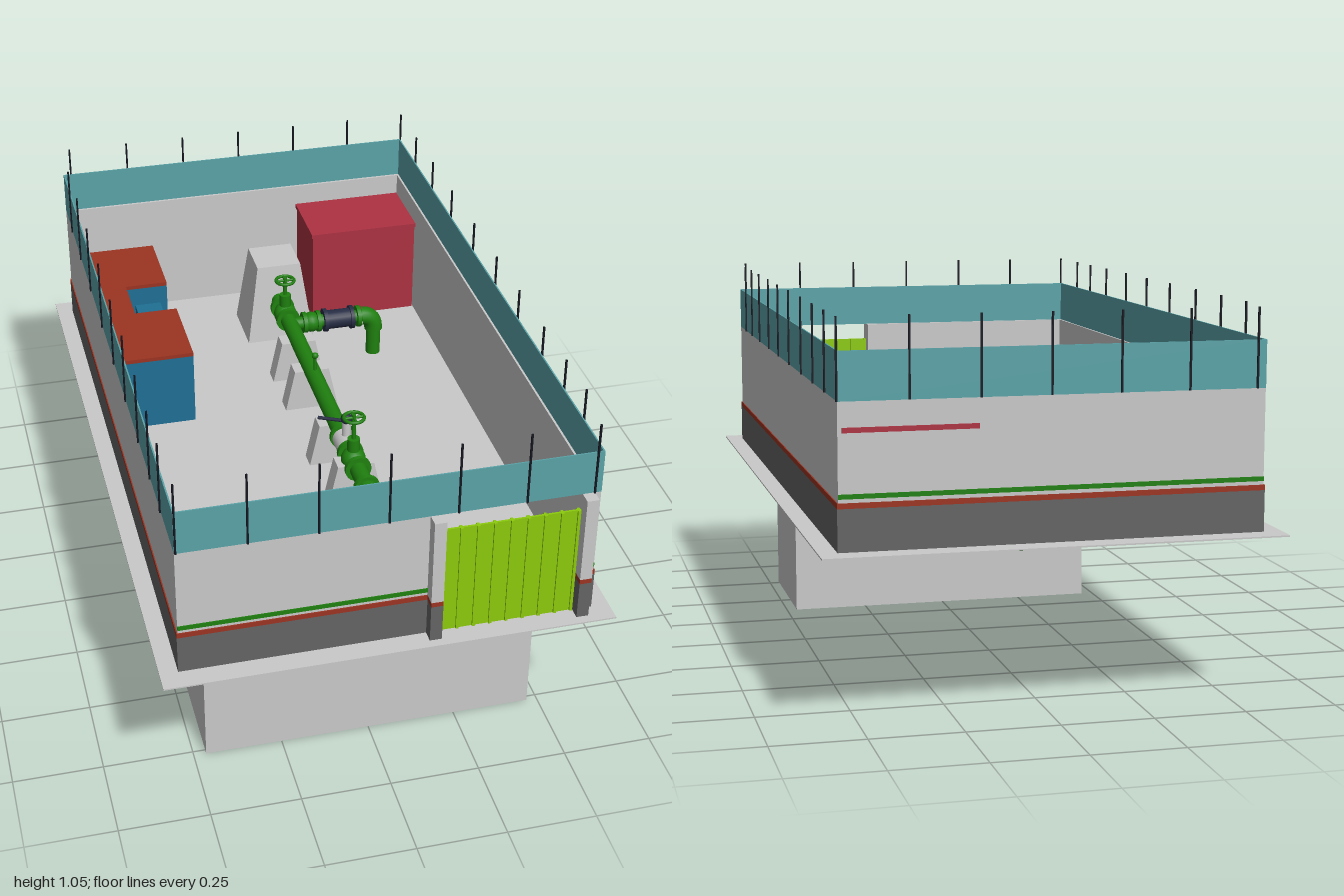
import * as THREE from 'three';

const mat = (name, color, extra = {}) => {
  const m = new THREE.MeshStandardMaterial({ color, ...extra });
  m.name = name;
  return m;
};

export function createModel() {
  const root = new THREE.Group();
  root.name = 'pumpStation';
  const concrete = mat('concrete', 0xc9c9c9);
  const plinth = mat('plinthGrey', 0x646464);
  const brick = mat('brickRed', 0x9c3422);
  const green = mat('pipeGreen', 0x1f800f);
  const lime = mat('gateLime', 0x8cca0c);
  const teal = mat('fenceTeal', 0x5aa3a8, { side: THREE.DoubleSide });
  const black = mat('poleBlack', 0x15151f);
  const blue = mat('hutBlue', 0x1f6f94);
  const crimson = mat('crimson', 0xad3242);
  const navy = mat('valveNavy', 0x262c44);

  const G = 0.463, TOP = 0.84; // ground level and wall top

  const add = (name, geo, m, parent = root) => {
    const mesh = new THREE.Mesh(geo, m);
    mesh.name = name;
    parent.add(mesh);
    return mesh;
  };
  // Box given by its limits
  const box = (name, m, x0, x1, y0, y1, z0, z1, parent = root) => {
    const mesh = add(name, new THREE.BoxGeometry(x1 - x0, y1 - y0, z1 - z0), m, parent);
    mesh.position.set((x0 + x1) / 2, (y0 + y1) / 2, (z0 + z1) / 2);
    return mesh;
  };
  // Cylinder between two points
  const rod = (name, m, a, b, r, parent = root, seg = 20) => {
    const p = new THREE.Vector3(...a), q = new THREE.Vector3(...b), d = q.clone().sub(p);
    const mesh = add(name, new THREE.CylinderGeometry(r, r, d.length(), seg), m, parent);
    mesh.position.copy(p).add(q).multiplyScalar(0.5);
    mesh.quaternion.setFromUnitVectors(new THREE.Vector3(0, 1, 0), d.normalize());
    return mesh;
  };
  const ball = (name, m, x, y, z, r, parent = root) => {
    const mesh = add(name, new THREE.SphereGeometry(r, 16, 12), m, parent);
    mesh.position.set(x, y, z);
    return mesh;
  };
  // Four-sided block with sloping sides; sx, sz are top-to-bottom ratios
  const frustum = (name, m, x0, x1, y0, y1, z0, z1, sx, sz) => {
    const geo = new THREE.BoxGeometry(x1 - x0, y1 - y0, z1 - z0);
    const p = geo.attributes.position;
    for (let i = 0; i < p.count; i++) {
      if (p.getY(i) > 0) p.setXYZ(i, p.getX(i) * sx, p.getY(i), p.getZ(i) * sz);
    }
    geo.computeVertexNormals();
    const mesh = add(name, geo, m);
    mesh.position.set((x0 + x1) / 2, (y0 + y1) / 2, (z0 + z1) / 2);
    return mesh;
  };

  // Ground slab and buried tank
  box('groundSlab', concrete, -0.61, 0.61, G - 0.004, G, -1, 1);
  box('buriedTank', concrete, -0.465, 0.47, 0, G - 0.004, 0.365, 0.765);

  // Perimeter walls with painted bands on the outer face
  const W = 0.558, D = 0.938, T = 0.01, P = 0.003;
  box('leftWall', concrete, W - T, W, G, TOP, -D, D);
  box('rightWall', concrete, -W, -W + T, G, TOP, -D, D);
  box('backWall', concrete, -W, W, G, TOP, -D, -D + T);
  const frontRuns = [[-W, 0.103], [0.537, W]];
  for (const [a, b] of frontRuns) box('frontWall', concrete, a, b, G, TOP, D - T, D);
  const bands = [['plinthBand', plinth, G, 0.573], ['redStripe', brick, 0.573, 0.587], ['greenStripe', green, 0.597, 0.609]];
  for (const [name, m, y0, y1] of bands) {
    for (const [a, b] of frontRuns) box(name, m, a, b, y0, y1, D, D + P);
    box(name, m, -W, W, y0, y1, -D - P, -D);
    if (m === green) continue;
    box(name, m, W, W + P, y0, y1, -D - P, D + P);
    box(name, m, -W - P, -W, y0, y1, -D - P, D + P);
  }

  // Screen fence and poles above the walls
  const fence = new THREE.Group();
  fence.name = 'screenFence';
  root.add(fence);
  for (const s of [-1, 1]) {
    box('longScreen', teal, s * 0.556 - 0.002, s * 0.556 + 0.002, TOP, 0.965, -0.94, 0.94, fence);
    box('shortScreen', teal, -0.556, 0.556, TOP, 0.965, s * 0.938 - 0.002, s * 0.938 + 0.002, fence);
  }
  const pole = (x, z) => box('fencePole', black, x - 0.0025, x + 0.0025, TOP, 1.05, z - 0.0025, z + 0.0025, fence);
  for (let i = 0; i < 7; i++) {
    pole(-0.555 + i * 0.1823, 0.942);
    pole(-0.534 + i * 0.1823, -0.942);
  }
  for (const z of [0.78, 0.63, 0.455, 0.25, 0.05, -0.16, -0.38, -0.58, -0.765]) {
    pole(0.56, z);
    pole(-0.56, z - 0.02);
  }

  // Gate with ribbed leaves between two posts
  const gate = new THREE.Group();
  gate.name = 'gate';
  root.add(gate);
  box('gatePanel', lime, 0.133, 0.508, G, 0.79, 0.934, 0.94, gate);
  for (let i = 0; i < 9; i++) {
    const x = 0.14 + i * 0.0452;
    box('gateRib', lime, x - 0.004, x + 0.004, G, 0.79, 0.929, 0.945, gate);
  }
  for (const [a, b] of [[0.101, 0.134], [0.507, 0.54]]) {
    box('postBase', plinth, a, b, G, 0.573, 0.9, 0.975, gate);
    box('postStripe', brick, a, b, 0.573, 0.587, 0.9, 0.975, gate);
    box('postShaft', concrete, a, b, 0.587, TOP, 0.9, 0.975, gate);
  }

  // U-shaped control hut with a recess on its inner side
  const hut = new THREE.Group();
  hut.name = 'controlHut';
  root.add(hut);
  for (const [x0, x1, z0, z1] of [[-0.546, -0.42, -0.89, -0.2], [-0.42, -0.29, -0.89, -0.64], [-0.42, -0.29, -0.47, -0.2]]) {
    box('hutBody', blue, x0, x1, G, 0.69, z0, z1, hut);
    box('hutRoof', brick, x0, x1, 0.69, 0.702, z0, z1, hut);
  }
  box('cabinet', blue, -0.395, -0.315, G, 0.64, -0.625, -0.475, hut);
  box('cabinetBack', blue, -0.42, -0.395, G, 0.6, -0.61, -0.49, hut);
  box('cabinetPanel', blue, -0.315, -0.29, G + 0.02, 0.6, -0.585, -0.52, hut);

  // Corner shed
  box('shedBody', crimson, 0.205, 0.545, G, 0.762, -0.926, -0.705);
  box('shedRoof', crimson, 0.2, 0.547, 0.762, 0.775, -0.942, -0.7);

  // Main pipe: elbow into the base plate, long run, sloping outlet
  const X = 0.07, Y = 0.6, R = 0.025;
  const pipes = new THREE.Group();
  pipes.name = 'pipework';
  root.add(pipes);
  rod('mainPipe', green, [X, Y, 0.48], [X, Y, -0.71], R, pipes);
  rod('outletPipe', green, [X, Y, -0.71], [X, 0.442, -0.868], R, pipes);
  rod('outletFlange', green, [X, 0.498, -0.812], [X, 0.486, -0.824], 0.036, pipes);
  const elbow = (pts) => add('pipeElbow', new THREE.TubeGeometry(
    new THREE.QuadraticBezierCurve3(...pts.map((p) => new THREE.Vector3(...p))), 12, R * 1.15, 16), green, pipes);
  elbow([[X, Y, 0.46], [X, Y, 0.53], [X, 0.52, 0.53]]);
  rod('inletRiser', green, [X, 0.525, 0.53], [X, G, 0.53], R, pipes);
  box('basePlate', green, 0, 0.14, 0.5, 0.525, 0.46, 0.6, pipes);
  for (const z of [0.455, 0.36, 0.275, 0.19, -0.49, -0.57]) {
    rod('flange', green, [X, Y, z - 0.007], [X, Y, z + 0.007], 0.038, pipes);
  }

  // Gate valves with handwheels
  for (const [z, h] of [[0.31, 0.74], [-0.53, 0.72]]) {
    ball('valveBody', green, X, Y, z, 0.036, pipes);
    rod('valveBonnet', green, [X, Y, z], [X, Y + 0.07, z], 0.018, pipes);
    rod('valveStem', green, [X, Y, z], [X, h + 0.01, z], 0.006, pipes, 10);
    const wheel = add('handwheel', new THREE.TorusGeometry(0.029, 0.005, 8, 20), green, pipes);
    wheel.rotation.x = Math.PI / 2;
    wheel.position.set(X, h, z);
    rod('wheelSpoke', green, [X - 0.028, h, z], [X + 0.028, h, z], 0.004, pipes, 8);
    rod('wheelSpoke', green, [X, h, z - 0.028], [X, h, z + 0.028], 0.004, pipes, 8);
  }

  // Meter with side lever and drain
  rod('meterBody', concrete, [X, Y, 0.2], [X, Y, 0.26], 0.033, pipes);
  rod('meterNeck', concrete, [X, Y, 0.23], [X, 0.68, 0.23], 0.013, pipes);
  ball('meterHead', navy, X, 0.685, 0.23, 0.017, pipes);
  rod('meterLever', navy, [X, 0.665, 0.21], [0, 0.665, 0.175], 0.005, pipes, 8);
  rod('drainPipe', concrete, [X, Y, 0.185], [X, 0.41, 0.185], 0.011, pipes);
  rod('drainTip', concrete, [X, 0.41, 0.185], [X, 0.38, 0.185], 0.005, pipes, 10);
  rod('gaugeStem', green, [X, Y, -0.14], [X, 0.67, -0.14], 0.004, pipes, 8);
  ball('gauge', green, X, 0.675, -0.14, 0.01, pipes);

  // Side branch with check valve and down elbow
  const B = -0.46;
  rod('branchPipe', green, [X, Y, B], [0.33, Y, B], R * 0.8, pipes);
  for (const x of [0.115, 0.16, 0.29]) rod('branchFlange', green, [x - 0.006, Y, B], [x + 0.006, Y, B], 0.034, pipes);
  ball('branchValve', green, 0.137, Y, B, 0.032, pipes);
  rod('checkValve', navy, [0.182, Y, B], [0.268, Y, B], 0.03, pipes);
  for (const x of [0.182, 0.268]) rod('checkValveFlange', navy, [x - 0.006, Y, B], [x + 0.006, Y, B], 0.037, pipes);
  elbow([[0.3, Y, B], [0.342, Y, B], [0.342, 0.55, B]]);
  rod('branchDrop', green, [0.342, 0.56, B], [0.342, G, B], R * 0.9, pipes);

  // Concrete anchor, pipe saddles with hollow footings, side cheeks
  frustum('anchorBlock', concrete, -0.035, 0.18, G, 0.72, -0.79, -0.6, 0.65, 0.72);
  for (const z of [0.31, 0.095, -0.21, -0.38]) {
    frustum('pipeSaddle', concrete, -0.01, 0.153, G, 0.595, z - 0.027, z + 0.027, 0.65, 1);
    for (const s of [-1, 1]) {
      box('footingSide', concrete, -0.01, 0.153, 0.438, G, z + s * 0.021 - 0.006, z + s * 0.021 + 0.006);
      const c = 0.0715 + s * 0.0735;
      box('footingEnd', concrete, c - 0.008, c + 0.008, 0.438, G, z - 0.027, z + 0.027);
    }
  }
  box('inletCheek', concrete, -0.065, -0.018, G, 0.56, 0.44, 0.62);
  box('inletCheek', concrete, 0.167, 0.214, G, 0.56, 0.44, 0.62);
  for (const z of [0.465, 0.595]) box('plateBeam', green, -0.02, 0.17, 0.505, 0.52, z - 0.006, z + 0.006);

  return root;
}
